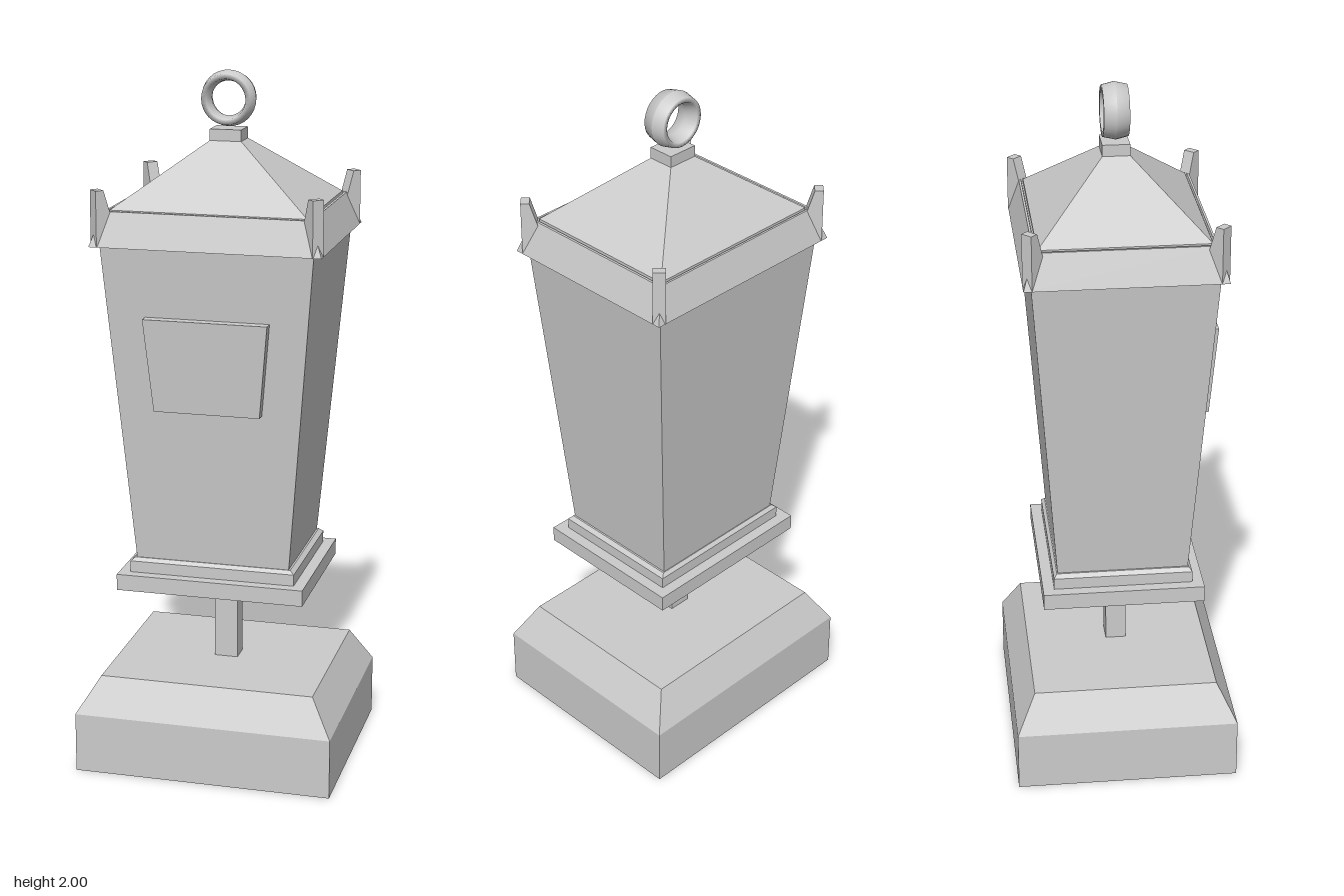
import * as THREE from 'three';

const material = new THREE.MeshStandardMaterial({ color: 0xcccccc, flatShading: true });
const smooth = new THREE.MeshStandardMaterial({ color: 0xcccccc });

// Closed solid through rectangular sections [halfX, halfZ, y], listed bottom to top
function loft(sections) {
  const corners = sections.map(([x, z, y]) => [[x, y, z], [x, y, -z], [-x, y, -z], [-x, y, z]]);
  const positions = [];
  const quad = (a, b, c, d) => positions.push(...a, ...b, ...c, ...a, ...c, ...d);
  for (let i = 0; i < corners.length - 1; i++) {
    const lo = corners[i], hi = corners[i + 1];
    for (let k = 0; k < 4; k++) {
      const n = (k + 1) % 4;
      quad(lo[k], lo[n], hi[n], hi[k]);
    }
  }
  const [b0, b1, b2, b3] = corners[0];
  quad(b3, b2, b1, b0);
  quad(...corners[corners.length - 1]);
  const geometry = new THREE.BufferGeometry();
  geometry.setAttribute('position', new THREE.Float32BufferAttribute(positions, 3));
  geometry.computeVertexNormals();
  return geometry;
}

export function createModel() {
  const group = new THREE.Group();
  const add = (name, geometry, mat = material) => {
    const mesh = new THREE.Mesh(geometry, mat);
    mesh.name = name;
    group.add(mesh);
    return mesh;
  };

  // Chamfered foot and post
  add('base', loft([[0.375, 0.32, 0], [0.375, 0.32, 0.175], [0.312, 0.265, 0.28]]));
  add('post', loft([[0.034, 0.03, 0.27], [0.034, 0.03, 0.545]]));

  // Stepped plates under the body
  add('lowerPlate', loft([[0.272, 0.231, 0.535], [0.272, 0.231, 0.582]]));
  add('upperPlate', loft([[0.24, 0.199, 0.582], [0.24, 0.199, 0.615], [0.228, 0.19, 0.625]]));

  // Tapered body
  add('body', loft([[0.222, 0.187, 0.615], [0.3, 0.254, 1.545]]));

  // Plaque leaning with the front wall and widening upward
  const plaque = new THREE.BoxGeometry(2, 1, 1);
  const p = plaque.attributes.position;
  for (let i = 0; i < p.count; i++) {
    const t = p.getY(i) + 0.5;
    const outer = 0.25 + 0.02 * t;
    p.setXYZ(i, p.getX(i) * (0.151 + 0.025 * t), 1.08 + 0.265 * t, p.getZ(i) > 0 ? outer : outer - 0.04);
  }
  plaque.computeVertexNormals();
  add('frontPlaque', plaque);

  // Sloping skirt with a shallow groove, then the hipped roof
  add('roofSkirt', loft([[0.325, 0.275, 1.54], [0.29, 0.245, 1.635], [0.283, 0.239, 1.635], [0.281, 0.237, 1.628]]));
  add('roof', loft([[0.276, 0.233, 1.62], [0.276, 0.233, 1.637], [0.045, 0.038, 1.808]]));
  add('roofCap', loft([[0.045, 0.038, 1.8], [0.045, 0.038, 1.84]]));

  // Upright fins set diagonally on the four roof corners
  const fin = new THREE.Shape();
  fin.moveTo(-0.05, 1.54);
  fin.lineTo(0, 1.54);
  fin.lineTo(0, 1.695);
  fin.lineTo(-0.024, 1.695);
  fin.lineTo(-0.05, 1.61);
  fin.closePath();
  const finGeometry = new THREE.ExtrudeGeometry(fin, { depth: 0.034, bevelEnabled: false });
  finGeometry.translate(0, 0, -0.017);
  for (const sx of [-1, 1]) {
    for (const sz of [-1, 1]) {
      const mesh = add('cornerFin', finGeometry);
      mesh.position.set(sx * 0.313, 0, sz * 0.264);
      mesh.rotation.y = Math.atan2(-sz, sx);
    }
  }

  // Ring on top, six-sided in section
  const section = [[0.078, 0], [0.07, 0.035], [0.056, 0.035], [0.048, 0], [0.056, -0.035], [0.07, -0.035], [0.078, 0]];
  const ring = new THREE.LatheGeometry(section.map(([r, y]) => new THREE.Vector2(r, y)), 32);
  ring.rotateX(Math.PI / 2);
  ring.translate(0, 1.922, 0);
  add('topRing', ring, smooth);

  return group;
}
